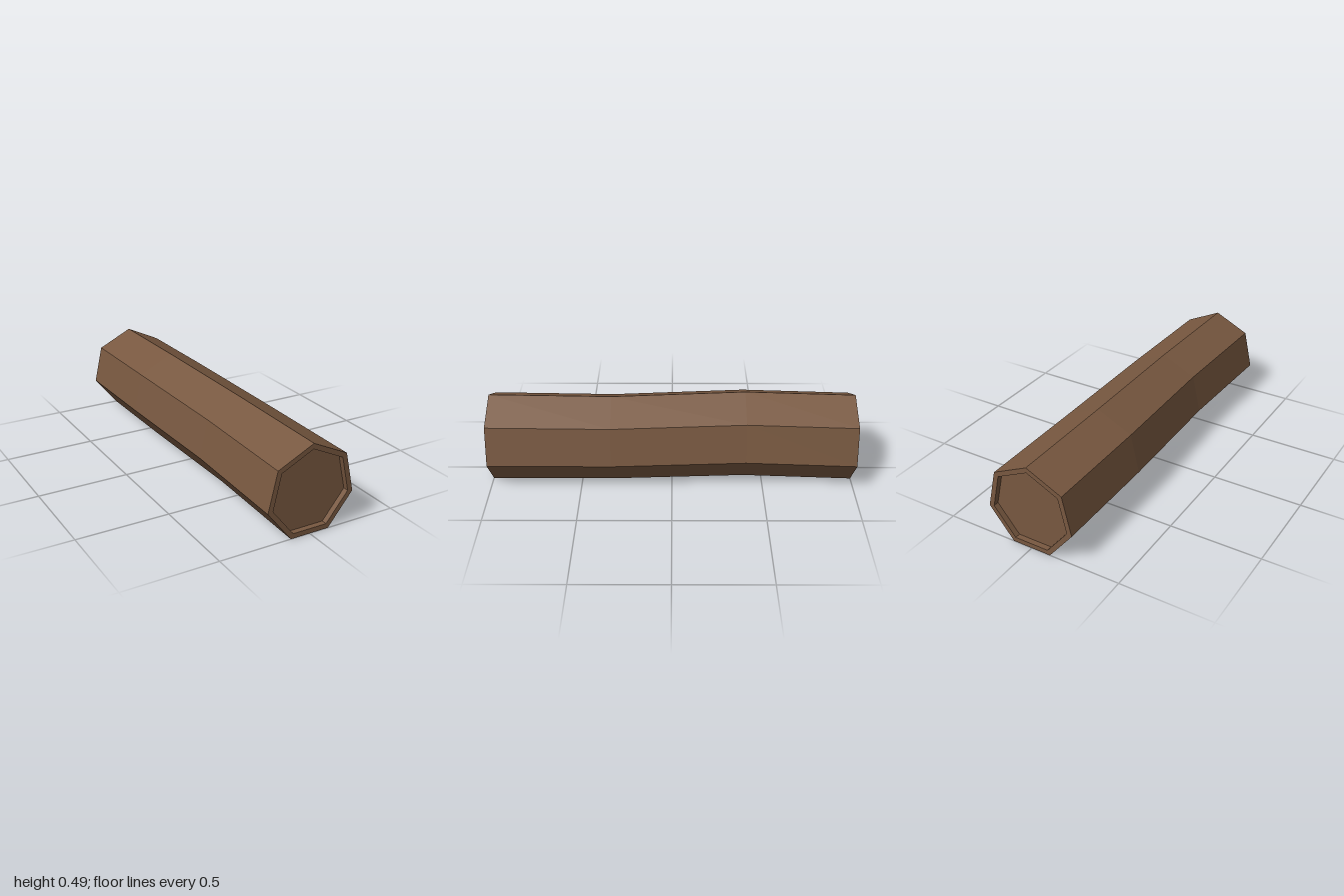
import * as THREE from 'three';

const SIDES = 7;

// Skins a row of heptagonal sections [x, y, z, radius], ordered from front to back.
function loft(sections, material, name) {
  const point = ([x, y, z, r], k) => {
    const a = (k / SIDES) * Math.PI * 2;
    return [x + r * Math.sin(a), y + r * Math.cos(a), z];
  };
  const positions = [];
  for (let i = 0; i < sections.length - 1; i++) {
    const [s, t] = [sections[i], sections[i + 1]];
    for (let k = 0; k < SIDES; k++) {
      const [a, b, c, d] = [point(s, k), point(s, k + 1), point(t, k + 1), point(t, k)];
      if (t[3] > 0) positions.push(...a, ...c, ...d);
      if (s[3] > 0) positions.push(...a, ...b, ...c);
    }
  }
  const geometry = new THREE.BufferGeometry();
  geometry.setAttribute('position', new THREE.Float32BufferAttribute(positions, 3));
  geometry.computeVertexNormals();
  const mesh = new THREE.Mesh(geometry, material);
  mesh.name = name;
  return mesh;
}

export function createModel() {
  const group = new THREE.Group();
  group.name = 'log';
  const wood = new THREE.MeshStandardMaterial({ color: 0x785840, flatShading: true });
  wood.name = 'brown wood';

  const y = 0.228, outer = 0.25, inner = 0.221, depth = 0.03;

  // Gently bent trunk
  group.add(loft([
    [0, y, 1, outer],
    [0.012, 0.229, 0.33, 0.245],
    [-0.011, 0.242, -0.4, 0.249],
    [0, y, -1, outer],
  ], wood, 'trunk'));

  // Each end: rim, recess wall and sunken cut face
  const front = [
    [0, y, 1 - depth, 0],
    [0, y, 1 - depth, inner],
    [0, y, 1, inner],
    [0, y, 1, outer],
  ];
  const back = front.map(([px, py, pz, r]) => [px, py, -pz, r]).reverse();
  group.add(loft(front, wood, 'frontCut'), loft(back, wood, 'backCut'));
  return group;
}
